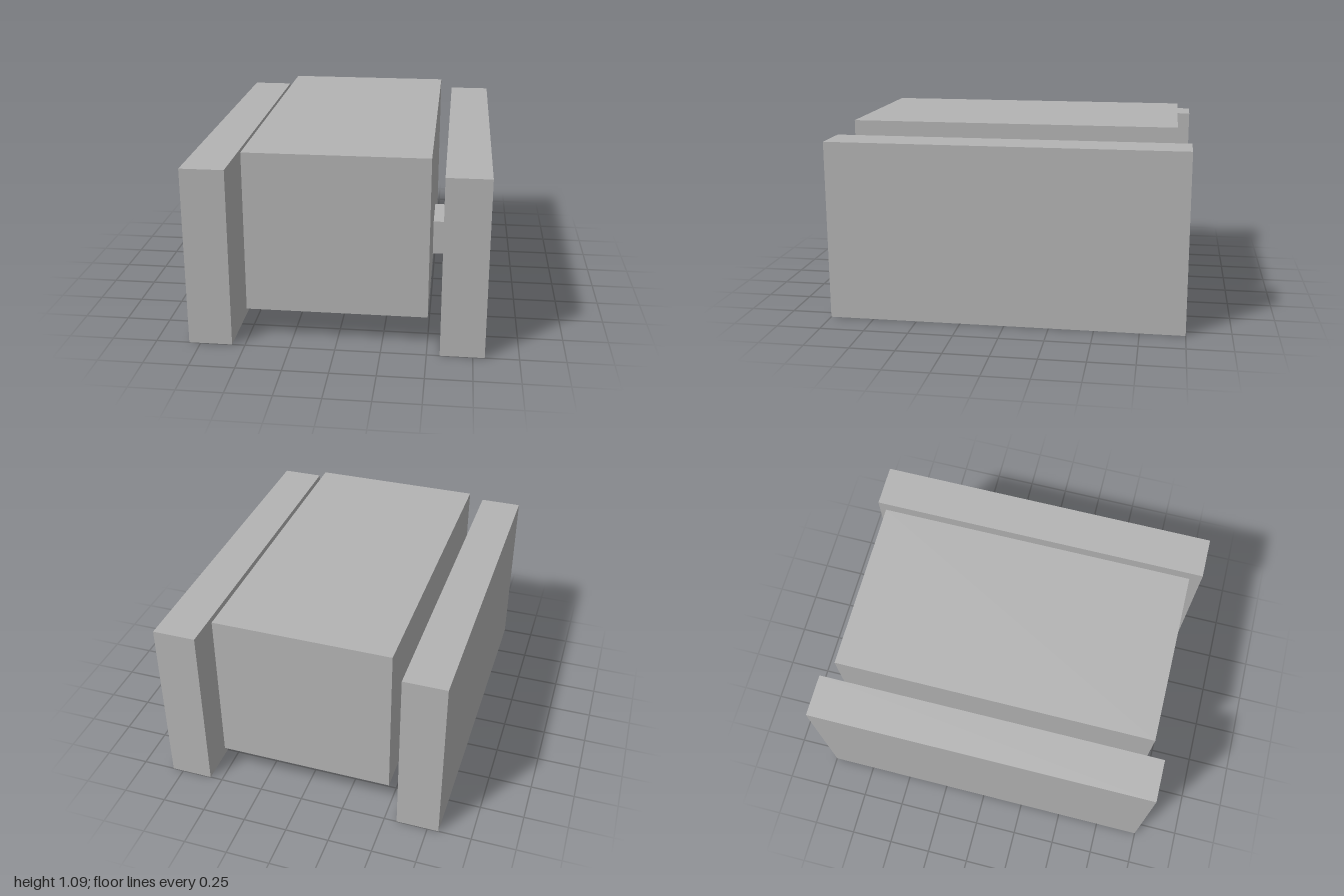
import * as THREE from 'three';

export function createModel() {
  const model = new THREE.Group();
  const grey = new THREE.MeshStandardMaterial({ color: 0xb3b3b3 });
  grey.name = 'plain grey';

  // Box given by its x and y ranges and its depth, centred on z = 0
  function addBox(name, x0, x1, y0, y1, depth) {
    const mesh = new THREE.Mesh(new THREE.BoxGeometry(x1 - x0, y1 - y0, depth), grey);
    mesh.position.set((x0 + x1) / 2, (y0 + y1) / 2, 0);
    mesh.name = name;
    model.add(mesh);
    return mesh;
  }

  // Central block
  addBox('body', -0.5, 0.5, 0.185, 1.088, 1.84);

  // Side slabs and the short arms that join them to the body
  for (const [side, s] of [['left', 1], ['right', -1]]) {
    const slab = addBox(side + 'SidePanel', 0.572, 0.814, 0, 1.014, 2);
    const arm = addBox(side + 'Connector', 0.5, 0.572, 0.24, 0.45, 0.312);
    slab.position.x *= s;
    arm.position.x *= s;
  }

  return model;
}
